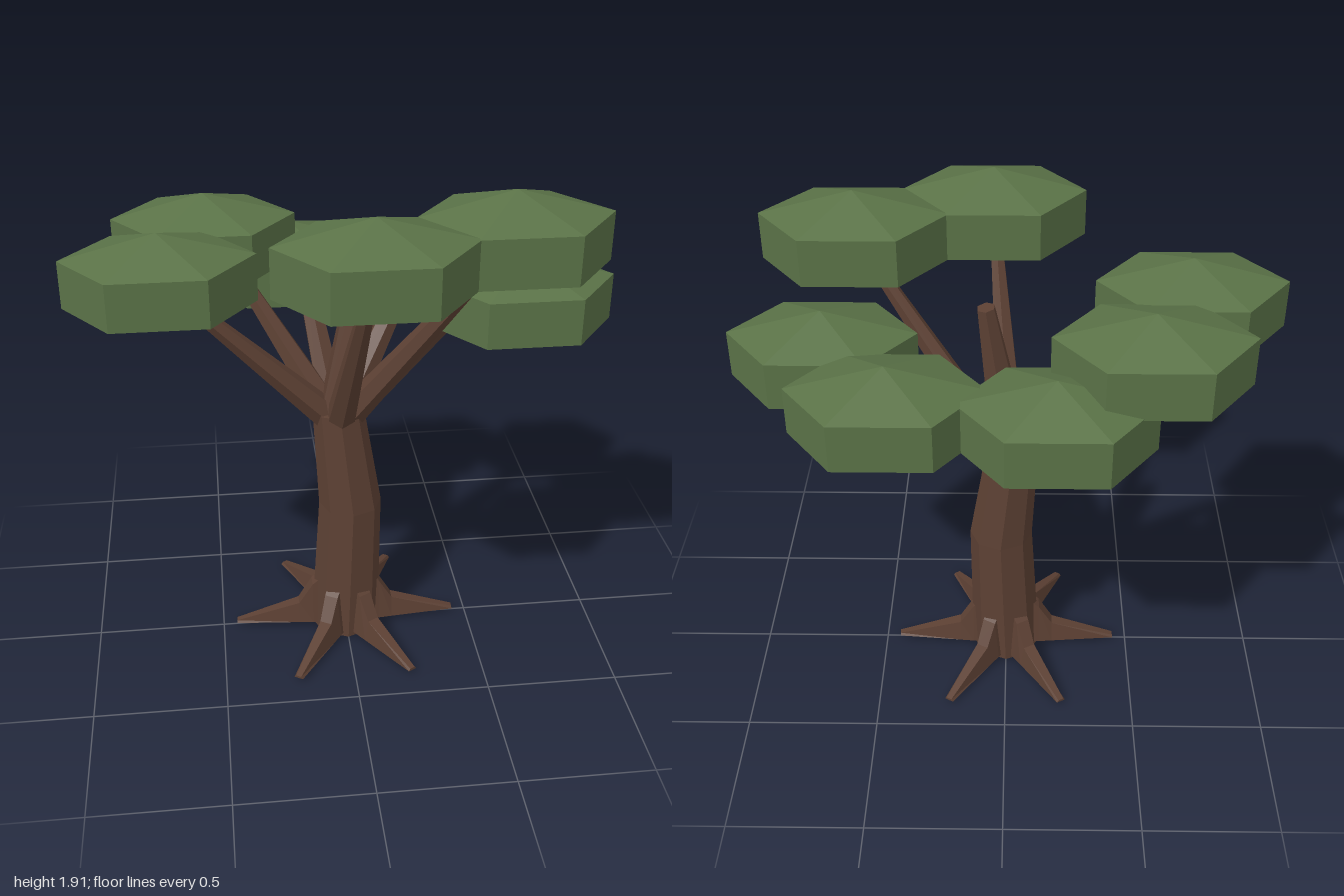
import * as THREE from 'three';

// Skin a list of closed rings (counter-clockwise seen from the last ring's end), with caps.
function loft(rings) {
  const pos = [];
  const tri = (...pts) => pts.forEach(p => pos.push(p.x, p.y, p.z));
  const n = rings[0].length;
  for (let i = 0; i < rings.length - 1; i++) {
    for (let j = 0; j < n; j++) {
      const k = (j + 1) % n;
      const a = rings[i][j], b = rings[i][k], c = rings[i + 1][k], d = rings[i + 1][j];
      tri(a, b, c);
      tri(a, c, d);
    }
  }
  const first = rings[0], last = rings[rings.length - 1];
  for (let j = 1; j < n - 1; j++) {
    tri(first[0], first[j + 1], first[j]);
    tri(last[0], last[j], last[j + 1]);
  }
  const geo = new THREE.BufferGeometry();
  geo.setAttribute('position', new THREE.Float32BufferAttribute(pos, 3));
  geo.computeVertexNormals();
  return geo;
}

// Horizontal ring of a trunk.
function ring(x, y, z, r, sides) {
  return Array.from({ length: sides }, (_, j) => {
    const a = (j / sides) * Math.PI * 2;
    return new THREE.Vector3(x + r * Math.cos(a), y, z - r * Math.sin(a));
  });
}

export function createModel() {
  const bark = new THREE.MeshStandardMaterial({ color: 0x5c4033, flatShading: true });
  bark.name = 'bark';
  const leaf = new THREE.MeshStandardMaterial({ color: 0x5a7247, flatShading: true });
  leaf.name = 'leaf';

  const tree = new THREE.Group();
  tree.name = 'tree';
  const add = (geo, mat, name) => {
    const mesh = new THREE.Mesh(geo, mat);
    mesh.name = name;
    tree.add(mesh);
    return mesh;
  };

  // Tapered limb between two points
  const limb = (from, to, r0, r1, name) => {
    const a = new THREE.Vector3(...from), b = new THREE.Vector3(...to);
    const dir = b.clone().sub(a);
    const mesh = add(new THREE.CylinderGeometry(r1, r0, dir.length(), 6), bark, name);
    mesh.position.copy(a).add(b).multiplyScalar(0.5);
    mesh.quaternion.setFromUnitVectors(new THREE.Vector3(0, 1, 0), dir.normalize());
  };

  // Bent trunk, and the cut leader above it
  add(loft([
    ring(0, 0, 0, 0.137, 8),
    ring(0.02, 0.57, 0, 0.122, 8),
    ring(-0.025, 0.98, -0.01, 0.098, 8),
  ]), bark, 'trunk');
  limb([-0.025, 0.94, -0.01], [0.07, 1.6, -0.045], 0.085, 0.034, 'leader');

  // Six flared roots: [distance out, top height, bottom height, half width]
  const rootSections = [
    [0.08, 0.24, 0.015, 0.05],
    [0.135, 0.19, 0.015, 0.045],
    [0.19, 0.1, 0.015, 0.04],
    [0.445, 0.024, 0.015, 0.018],
  ];
  const rootGeo = loft(rootSections.map(([x, top, low, w]) => [
    new THREE.Vector3(x, top, -w * 0.6),
    new THREE.Vector3(x, top, w * 0.6),
    new THREE.Vector3(x, low, w),
    new THREE.Vector3(x, low, -w),
  ]));
  for (let i = 0; i < 6; i++) {
    add(rootGeo, bark, 'root').rotation.y = (i * Math.PI) / 3;
  }

  // Hexagonal leaf cluster with pointed top and bottom, narrower in depth
  const clusterGeo = new THREE.LatheGeometry([
    new THREE.Vector2(0, -0.177),
    new THREE.Vector2(0.342, -0.088),
    new THREE.Vector2(0.342, 0.088),
    new THREE.Vector2(0, 0.177),
  ], 6);
  clusterGeo.rotateY(Math.PI / 2).scale(1, 1, 0.767);

  // Clusters: centre x, y, z and how far along the branch reaches
  const clusters = [
    [-0.658, 1.56, 0.07, 1],
    [-0.495, 1.56, -0.33, 0.9],
    [-0.173, 1.39, -0.47, 0.68],
    [0.4, 1.39, -0.388, 0.66],
    [0.657, 1.39, -0.015, 0.66],
    [0.55, 1.73, 0.247, 1],
    [0.05, 1.73, 0.462, 1],
  ];
  for (const [x, y, z, reach] of clusters) {
    add(clusterGeo, leaf, 'leafCluster').position.set(x, y, z);
    const len = Math.hypot(x, z);
    const start = [-0.025 + (0.045 * x) / len, 0.96, -0.01 + (0.045 * z) / len];
    limb(start, [x * reach, y, z * reach], 0.058, reach < 0.8 ? 0.036 : 0.02, 'branch');
  }
  return tree;
}
